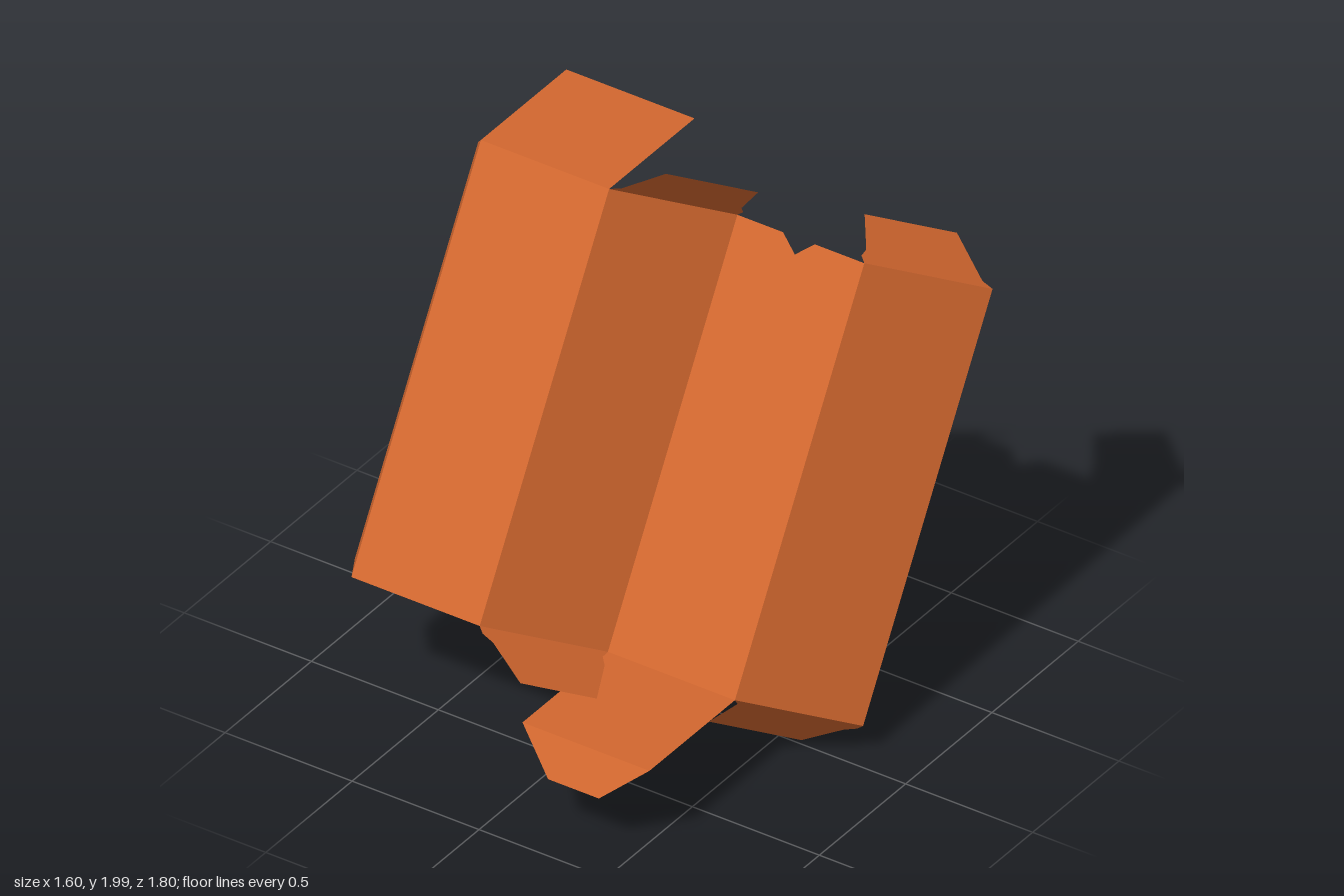
import * as THREE from 'three';

const FOLD = Math.PI / 3;   // every crease is bent by 60 degrees
const HEIGHT = 1.5, WIDTH = 0.5, LID = 0.495;

export function createModel() {
  const outside = new THREE.MeshStandardMaterial({ color: 0xd2672f });
  outside.name = 'orange outside';
  const inside = new THREE.MeshStandardMaterial({ color: 0x2ecc62 });
  inside.name = 'green inside';

  // One sheet of card: orange towards +z, green towards -z
  function card(name, points) {
    const group = new THREE.Group();
    group.name = name;
    const shape = new THREE.Shape(points.map(([x, y]) => new THREE.Vector2(x, y)));
    const face = new THREE.Mesh(new THREE.ShapeGeometry(shape), outside);
    face.name = name + 'Outside';
    const backGeometry = new THREE.ShapeGeometry(shape);
    backGeometry.index.array.reverse();
    const normal = backGeometry.attributes.normal;
    for (let i = 0; i < normal.count; i++) normal.setZ(i, -1);
    backGeometry.translate(0, 0, -0.001);
    const back = new THREE.Mesh(backGeometry, inside);
    back.name = name + 'Inside';
    group.add(face, back);
    return group;
  }

  // Hinges a card on a parent at height y, turned about its horizontal crease
  function hinge(parent, part, y, angle) {
    part.position.y = y;
    part.rotation.x = angle;
    parent.add(part);
    return part;
  }

  const rect = (w, h) => [[0, 0], [w, 0], [w, h], [0, h]];

  // Dust flap outline; mirrored puts the notched edge at x = 0, sign points it up or down
  function dustOutline(mirrored, sign) {
    const outline = [[0, 0], [0.03, 0.03], [0.06, 0.245], [0.42, 0.245], [0.47, 0.07], [0.5, 0.035], [0.5, 0]];
    return outline.map(([x, y]) => [mirrored ? WIDTH - x : x, sign * y]);
  }

  // Closing lid with its tapered tuck tongue
  function addLid(wall, name, w, y, sign) {
    const lid = hinge(wall, card(name, rect(w, sign * LID)), y, -FOLD);
    const tongue = [[0, 0], [w, 0], [w - 0.15, sign * 0.145], [0.15, sign * 0.145]];
    hinge(lid, card(name + 'Tuck', tongue), sign * LID, -sign * FOLD);
  }

  // Upright walls, folded in a zigzag
  const carton = new THREE.Group();
  carton.name = 'unfoldedCarton';
  carton.position.set(0, 0.57, 0.702);
  carton.rotation.x = -Math.PI / 6;

  function addWall(name, points, x, z, turn) {
    const wall = card(name, points);
    wall.position.set(x, 0, z);
    wall.rotation.y = turn;
    carton.add(wall);
    return wall;
  }
  const depth = WIDTH * Math.sin(FOLD);
  const frontWall = addWall('frontWall', rect(0.505, HEIGHT), -0.705, 0, 0);
  const innerSide = addWall('innerSideWall', rect(WIDTH, HEIGHT), -0.2, 0, FOLD);
  const notched = [[0, 0], [WIDTH, 0], [WIDTH, HEIGHT], [0.305, HEIGHT], [0.245, HEIGHT - 0.055], [0.18, HEIGHT], [0, HEIGHT]];
  const backWall = addWall('notchedWall', notched, 0.05, -depth, 0);
  const outerSide = addWall('outerSideWall', rect(WIDTH, HEIGHT), 0.55, -depth, FOLD);

  // Tapered glue strip on the free edge of the front wall
  addWall('glueStrip', [[0, 0], [0, HEIGHT], [-0.187, HEIGHT - 0.035], [-0.187, 0.035]], -0.705, 0, -FOLD);

  // Lids
  addLid(frontWall, 'topLid', 0.505, HEIGHT, 1);
  addLid(backWall, 'bottomLid', WIDTH, 0, -1);

  // Dust flaps
  hinge(innerSide, card('innerTopFlap', dustOutline(false, 1)), HEIGHT, FOLD);
  hinge(innerSide, card('innerBottomFlap', dustOutline(true, -1)), 0, -FOLD);
  hinge(outerSide, card('outerTopFlap', dustOutline(true, 1)), HEIGHT, -FOLD);
  hinge(outerSide, card('outerBottomFlap', dustOutline(false, -1)), 0, FOLD);

  const model = new THREE.Group();
  model.name = 'carton';
  model.add(carton);
  return model;
}
